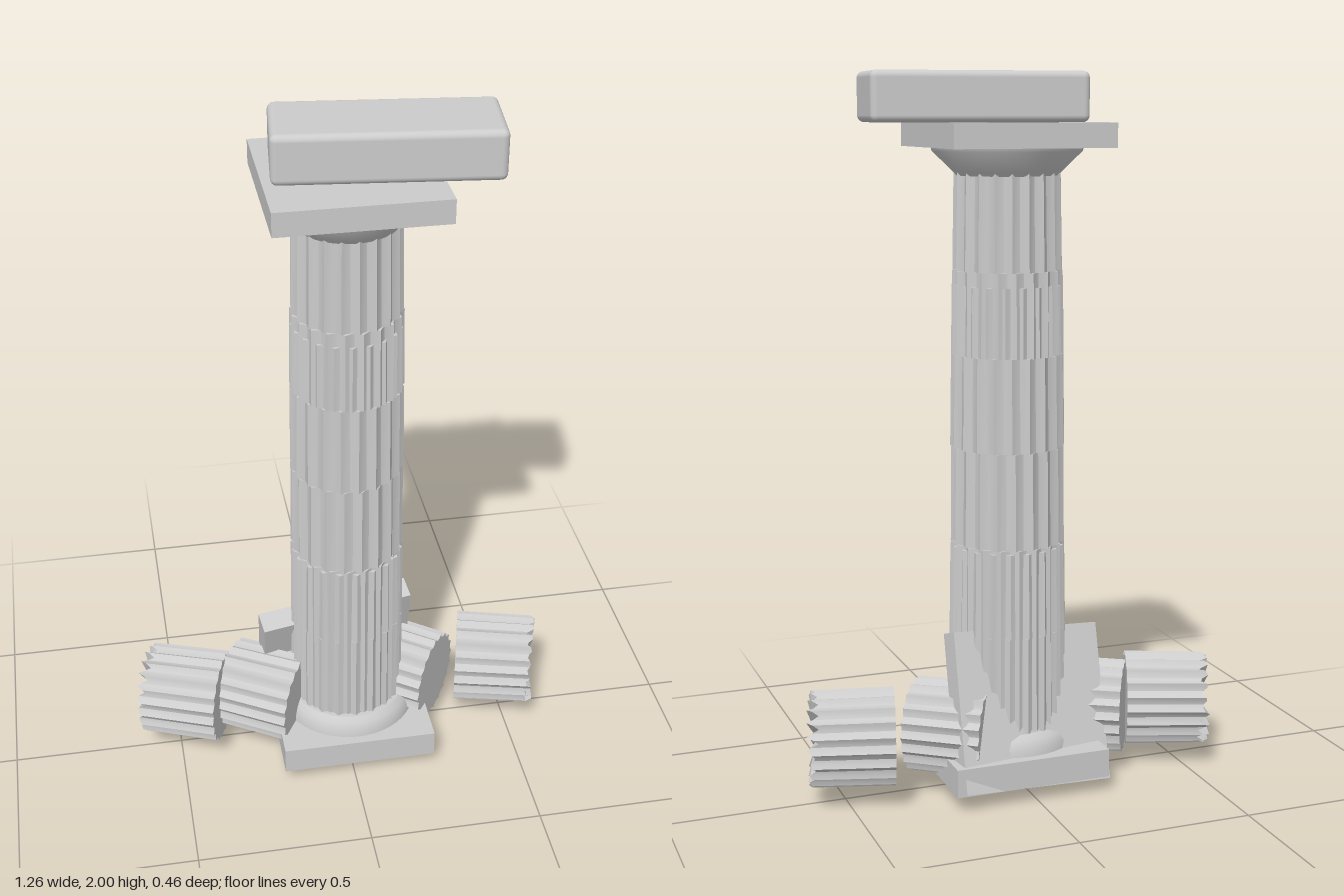
import * as THREE from 'three';
import { toCreasedNormals } from 'three/addons/utils/BufferGeometryUtils.js';
import { RoundedBoxGeometry } from 'three/addons/geometries/RoundedBoxGeometry.js';

const stone = new THREE.MeshStandardMaterial({ color: 0xcccccc });
const FLUTES = 20;
const STEPS = 4; // facets per flute

// Fluted drum along y; roughEnd chips the rim of the upper end into a radial fan
function drumGeometry(rBottom, rTop, height, depth = 0.012, roughEnd = false) {
  const geo = new THREE.CylinderGeometry(rTop, rBottom, height, FLUTES * STEPS, 1);
  const pos = geo.attributes.position;
  for (let i = 0; i < pos.count; i++) {
    const x = pos.getX(i), z = pos.getZ(i);
    const r = Math.hypot(x, z);
    if (r < 1e-4) {
      if (roughEnd && pos.getY(i) > 0) pos.setY(i, height / 2 - 0.012);
      continue;
    }
    const step = Math.round((Math.atan2(x, z) / (2 * Math.PI) + 1) * FLUTES * STEPS);
    const t = (step % STEPS) / STEPS;
    const k = (r - depth * Math.sin(Math.PI * t)) / r;
    pos.setX(i, x * k);
    pos.setZ(i, z * k);
    if (roughEnd && pos.getY(i) > 0) {
      const chip = 0.011 * Math.sin(step * Math.PI / 2) + 0.006 * Math.sin(step * 1.7);
      pos.setY(i, height / 2 + chip);
    }
  }
  return toCreasedNormals(geo, 0.45);
}

function add(parent, name, geo, x, y, z) {
  const mesh = new THREE.Mesh(geo, stone);
  mesh.name = name;
  mesh.position.set(x, y, z);
  parent.add(mesh);
  return mesh;
}

// Ring of straight or curved profile turned about y
function turned(points) {
  const profile = points.map(([r, y]) => new THREE.Vector2(r, y));
  return toCreasedNormals(new THREE.LatheGeometry(profile, 48), 0.6);
}

export function createModel() {
  const model = new THREE.Group();
  model.name = 'ruinedColumn';
  const cx = 0.012, cz = 0.01;

  // Standing shaft: stacked drums, some overlapping with turned flutes
  const shaft = new THREE.Group();
  shaft.name = 'shaft';
  model.add(shaft);
  const drums = [ // bottom, top, lower radius, upper radius, turn
    [0.14, 0.46, 0.168, 0.165, 0.0],
    [0.19, 0.71, 0.166, 0.161, 0.16],
    [0.46, 0.70, 0.165, 0.161, 0.02],
    [0.71, 0.98, 0.161, 0.158, 0.1],
    [0.98, 1.24, 0.160, 0.156, 0.04],
    [1.24, 1.47, 0.157, 0.153, 0.12],
    [1.24, 1.43, 0.156, 0.153, 0.24],
    [1.47, 1.74, 0.151, 0.146, 0.05],
  ];
  drums.forEach(([y0, y1, r0, r1, turn]) => {
    const drum = add(shaft, 'shaftDrum', drumGeometry(r0, r1, y1 - y0), cx, (y0 + y1) / 2, cz);
    drum.rotation.y = turn;
  });

  // Base: square plinth with a rounded ring
  add(model, 'plinth', new THREE.BoxGeometry(0.45, 0.08, 0.45), 0.015, 0.09, 0.012);
  add(model, 'baseRing', turned([[0, 0.12], [0.2, 0.12], [0.197, 0.15], [0.185, 0.172], [0.17, 0.185], [0, 0.195]]),
    0.015, 0, 0.012);

  // Capital: flared cushion under a square slab
  add(model, 'capitalCushion', turned([[0, 1.725], [0.14, 1.725], [0.148, 1.735], [0.205, 1.79], [0.208, 1.802], [0, 1.802]]),
    cx, 0, cz);
  add(model, 'capitalSlab', new THREE.BoxGeometry(0.455, 0.066, 0.455), 0.015, 1.833, 0.007);

  // Loose beam fragment resting askew on the capital
  const beam = add(model, 'beamFragment', new RoundedBoxGeometry(0.59, 0.134, 0.24, 3, 0.018), 0.112, 1.933, 0.007);
  beam.rotation.y = -0.11;

  // Fallen slab leaning into the back of the shaft
  const slab = add(model, 'leaningSlab', new THREE.BoxGeometry(0.455, 0.445, 0.065), -0.01, 0.242, -0.095);
  slab.rotation.set(0.33, 0.15, 0.08, 'YXZ');

  // Fallen drums: x, z, yaw of the axis, side the outer end faces, chipped end
  const fallen = [
    [-0.47, -0.015, 0.36, -1, true],
    [-0.235, 0.015, 0.53, -1, false],
    [0.19, -0.025, 0.62, 1, false],
    [0.475, -0.013, 0.26, 1, true],
  ];
  fallen.forEach(([x, z, yaw, side, rough]) => {
    const pivot = new THREE.Group();
    pivot.name = 'fallenDrum';
    pivot.position.set(x, 0.187, z);
    pivot.rotation.y = -yaw;
    model.add(pivot);
    const drum = add(pivot, 'drum', drumGeometry(0.136, 0.133, 0.225, 0.012, rough), 0, 0, 0);
    drum.rotation.z = -side * Math.PI / 2;
  });

  return model;
}
